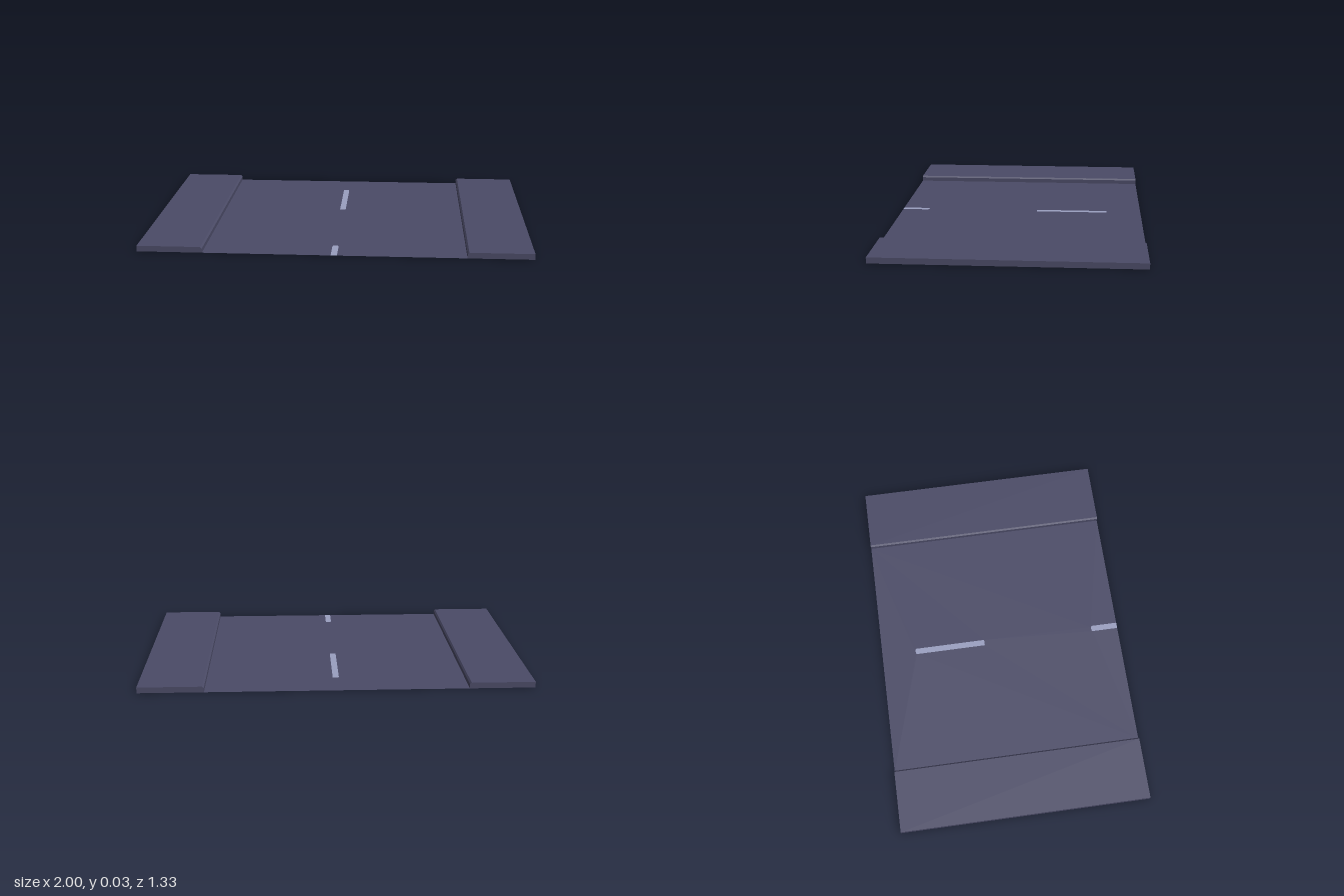
import * as THREE from 'three';

const HALF_W = 1, HALF_D = 0.667, ROAD = 0.667, KERB = 0.03;
const LINE = 0.016, CUT = 0.006; // half width and corner cut of the lane lines

// outline of a lane line in (x, -z), from its near end to its cut far end
const lineOutline = (near, far) => [
  [-LINE, near], [-LINE, far - CUT], [-LINE + CUT, far],
  [LINE - CUT, far], [LINE, far - CUT], [LINE, near],
].map(([x, y]) => new THREE.Vector2(x, y));

export function createModel() {
  const group = new THREE.Group();
  const asphalt = new THREE.MeshStandardMaterial({ color: 0x4b4b67, side: THREE.DoubleSide });
  asphalt.name = 'slate asphalt';
  const paint = new THREE.MeshStandardMaterial({ color: 0x9a9fc0, side: THREE.DoubleSide });
  paint.name = 'pale line paint';

  const add = (name, geometry, material) => {
    const mesh = new THREE.Mesh(geometry, material);
    mesh.name = name;
    group.add(mesh);
    return mesh;
  };
  const flat = (shape) => new THREE.ShapeGeometry(shape).rotateX(-Math.PI / 2);

  const rearLine = lineOutline(0.09, 0.48);
  const frontLine = lineOutline(-HALF_D, -0.52);

  // road sheet, with the lane lines inlaid flush
  const road = new THREE.Shape([
    new THREE.Vector2(-ROAD, -HALF_D),
    ...frontLine,
    new THREE.Vector2(ROAD, -HALF_D),
    new THREE.Vector2(ROAD, HALF_D),
    new THREE.Vector2(-ROAD, HALF_D),
  ]);
  road.holes.push(new THREE.Path(rearLine));
  add('road', flat(road), asphalt);
  add('rearLaneLine', flat(new THREE.Shape(rearLine)), paint);
  add('frontLaneLine', flat(new THREE.Shape(frontLine)), paint);

  // raised pavements with a bevelled inner kerb edge
  for (const [name, side] of [['leftPavement', 1], ['rightPavement', -1]]) {
    const section = new THREE.Shape([
      [ROAD, 0], [HALF_W, 0], [HALF_W, KERB], [ROAD + 0.008, KERB], [ROAD, KERB - 0.008],
    ].map(([x, y]) => new THREE.Vector2(side * x, y)));
    const geometry = new THREE.ExtrudeGeometry(section, { depth: 2 * HALF_D, bevelEnabled: false });
    add(name, geometry.translate(0, 0, -HALF_D), asphalt);
  }
  return group;
}
